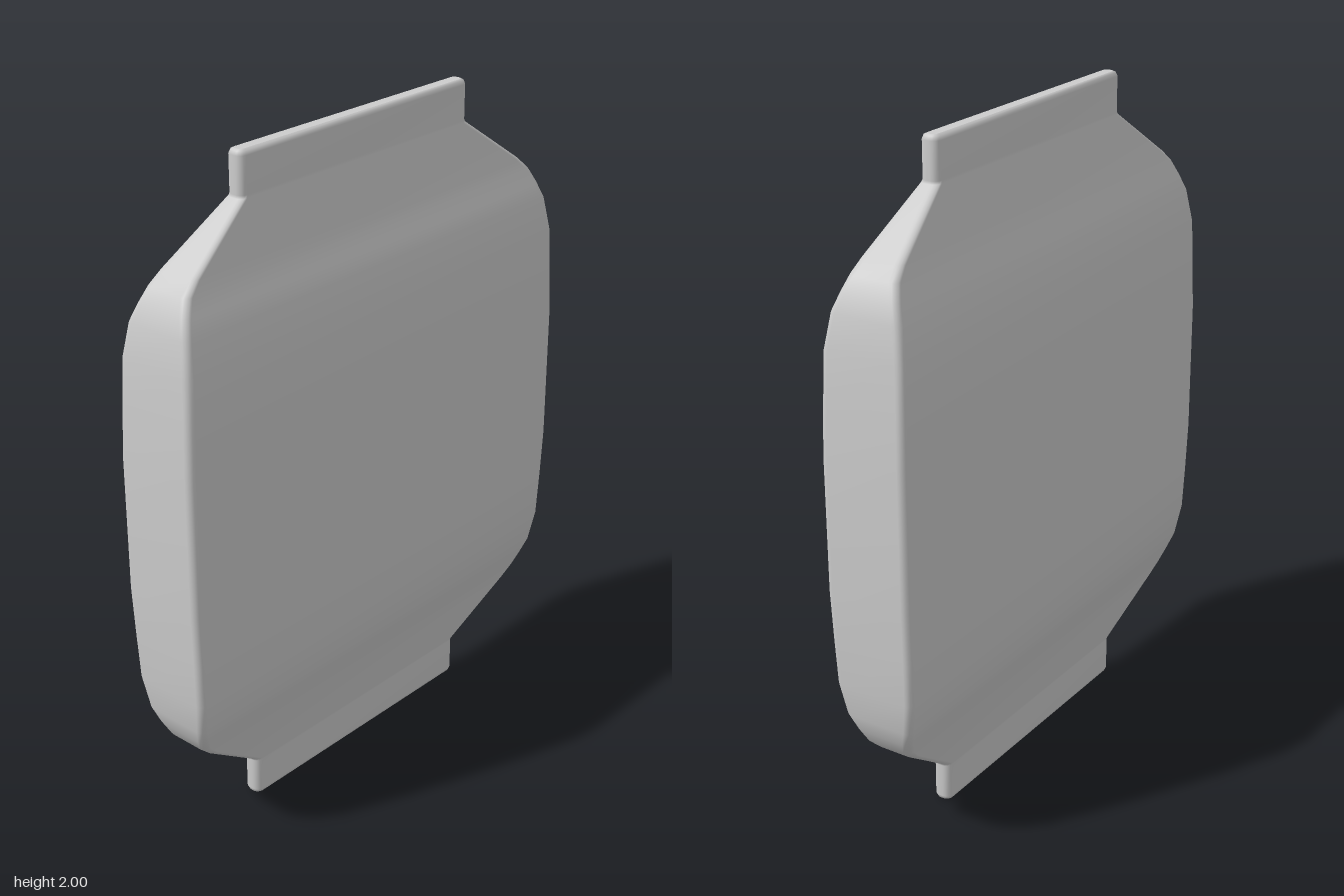
import * as THREE from 'three';

// Upper half of the pouch: height above the middle, half width, half depth
const PROFILE = [
  [0, 0.78, 0.135], [0.2, 0.78, 0.135], [0.36, 0.773, 0.132], [0.49, 0.767, 0.128],
  [0.59, 0.753, 0.111], [0.64, 0.735, 0.093], [0.685, 0.712, 0.077], [0.72, 0.675, 0.067],
  [0.872, 0.464, 0.03], [0.88, 0.461, 0.028], [0.985, 0.461, 0.028], [0.996, 0.457, 0.024], [1, 0.449, 0.016],
];
const ARC_STEPS = 4;

// Rounded-rectangle cross-section, one small arc per corner
function section(w, d) {
  const r = Math.min(0.022, d * 0.85);
  const points = [];
  [[1, 1], [-1, 1], [-1, -1], [1, -1]].forEach(([sx, sz], corner) => {
    for (let i = 0; i <= ARC_STEPS; i++) {
      const a = (corner + i / ARC_STEPS) * Math.PI / 2;
      points.push([sx * (w - r) + r * Math.cos(a), sz * (d - r) + r * Math.sin(a)]);
    }
  });
  return points;
}

function loft(rings) {
  const positions = [], index = [];
  const n = 4 * (ARC_STEPS + 1);
  const addRing = ([y, w, d]) => section(w, d).forEach(([x, z]) => positions.push(x, y, z));
  rings.forEach(addRing);
  for (let j = 0; j < rings.length - 1; j++) {
    for (let i = 0; i < n; i++) {
      const a = j * n + i, b = j * n + (i + 1) % n;
      index.push(a, a + n, b, b, a + n, b + n);
    }
  }
  // Flat end caps with their own vertices
  for (const top of [false, true]) {
    const ring = top ? rings[rings.length - 1] : rings[0];
    const start = positions.length / 3;
    addRing(ring);
    positions.push(0, ring[0], 0);
    for (let i = 0; i < n; i++) {
      const a = start + i, b = start + (i + 1) % n;
      index.push(start + n, top ? b : a, top ? a : b);
    }
  }
  const geometry = new THREE.BufferGeometry();
  geometry.setAttribute('position', new THREE.Float32BufferAttribute(positions, 3));
  geometry.setIndex(index);
  geometry.computeVertexNormals();
  return geometry;
}

export function createModel() {
  const group = new THREE.Group();
  group.name = 'pouchCell';
  // Mirror the profile below the middle
  const lower = PROFILE.slice(1).reverse().map(([h, w, d]) => [1 - h, w, d]);
  const upper = PROFILE.map(([h, w, d]) => [1 + h, w, d]);
  const body = new THREE.Mesh(
    loft([...lower, ...upper]),
    new THREE.MeshStandardMaterial({ color: 0xcccccc }),
  );
  body.name = 'pouchBody';
  group.add(body);
  return group;
}
